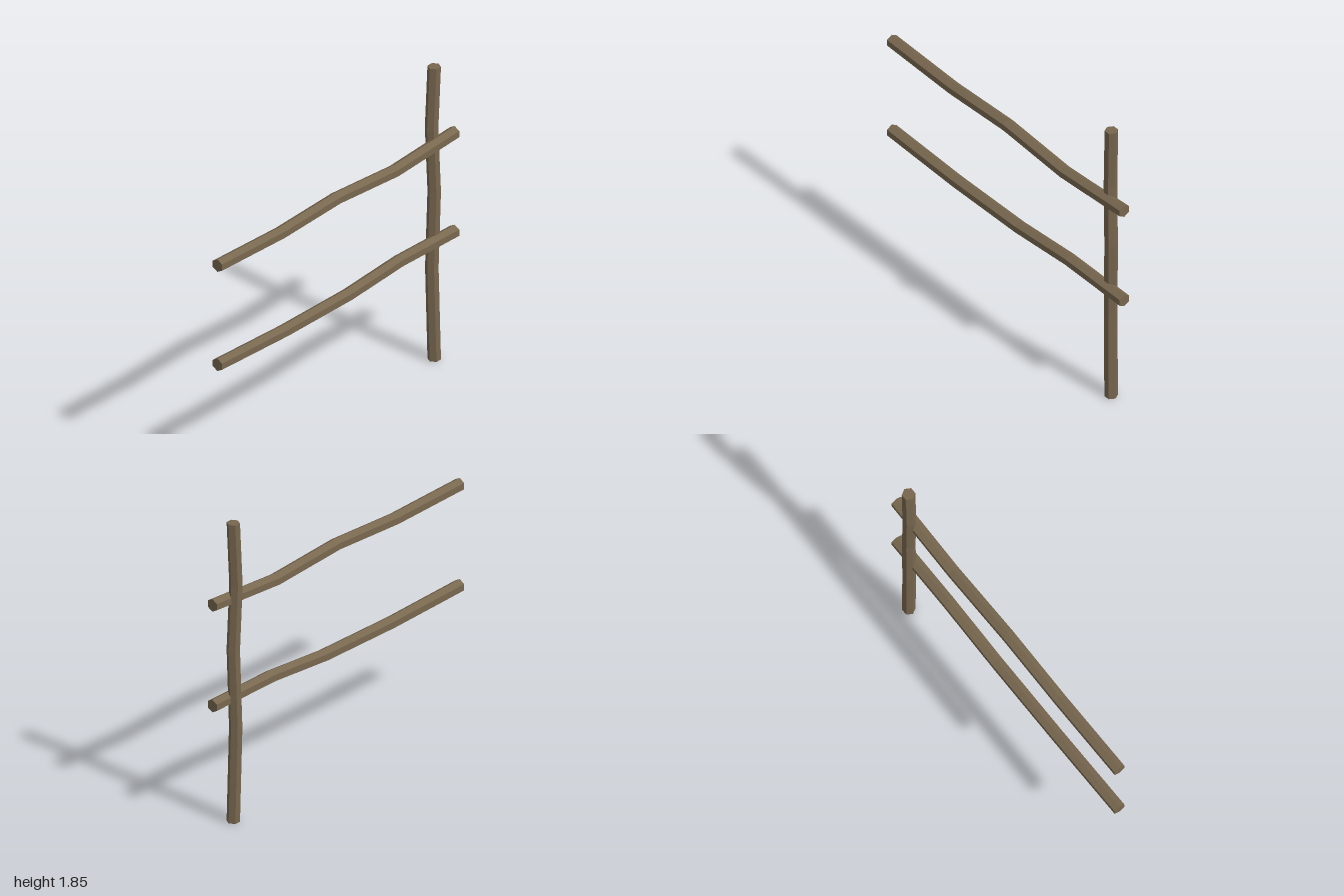
import * as THREE from 'three';

// Crooked six-sided pole: one hexagonal ring per [x, y, z] station.
// Stations run up the pole (upright) or along x (lying).
function pole(name, stations, radius, lying, material) {
  const segments = stations.length - 1;
  const geo = new THREE.CylinderGeometry(radius, radius, 1, 6, segments);
  geo.rotateY(Math.PI / 2);
  const pos = geo.attributes.position;
  for (let i = 0; i < pos.count; i++) {
    const ring = Math.round((pos.getY(i) + 0.5) * segments);
    const [cx, cy, cz] = stations[ring];
    const u = pos.getX(i), w = pos.getZ(i);
    if (lying) pos.setXYZ(i, cx, cy - u, cz + w);
    else pos.setXYZ(i, cx + u, cy, cz + w);
  }
  // Unshared corners give flat facets
  const flat = geo.toNonIndexed();
  flat.computeVertexNormals();
  const mesh = new THREE.Mesh(flat, material);
  mesh.name = name;
  return mesh;
}

export function createModel() {
  const group = new THREE.Group();
  group.name = 'railFence';
  const wood = new THREE.MeshStandardMaterial({ color: 0x78674f });
  wood.name = 'weathered wood';

  // Upright post behind the rails
  group.add(pole('post', [
    [0.857, 0, -0.01], [0.845, 0.58, -0.017], [0.857, 1.06, -0.01],
    [0.843, 1.46, -0.017], [0.858, 1.845, -0.011],
  ], 0.038, false, wood));

  // Two lying rails
  group.add(pole('upperRail', [
    [-1, 1.381, 0.015], [-0.47, 1.364, 0.015], [0, 1.383, 0.015],
    [0.49, 1.348, 0.015], [1, 1.378, 0.015],
  ], 0.039, true, wood));
  group.add(pole('lowerRail', [
    [-1, 0.756, 0.015], [-0.44, 0.734, 0.015], [0.1, 0.734, 0.015],
    [0.53, 0.764, 0.015], [1, 0.756, 0.015],
  ], 0.039, true, wood));

  return group;
}
